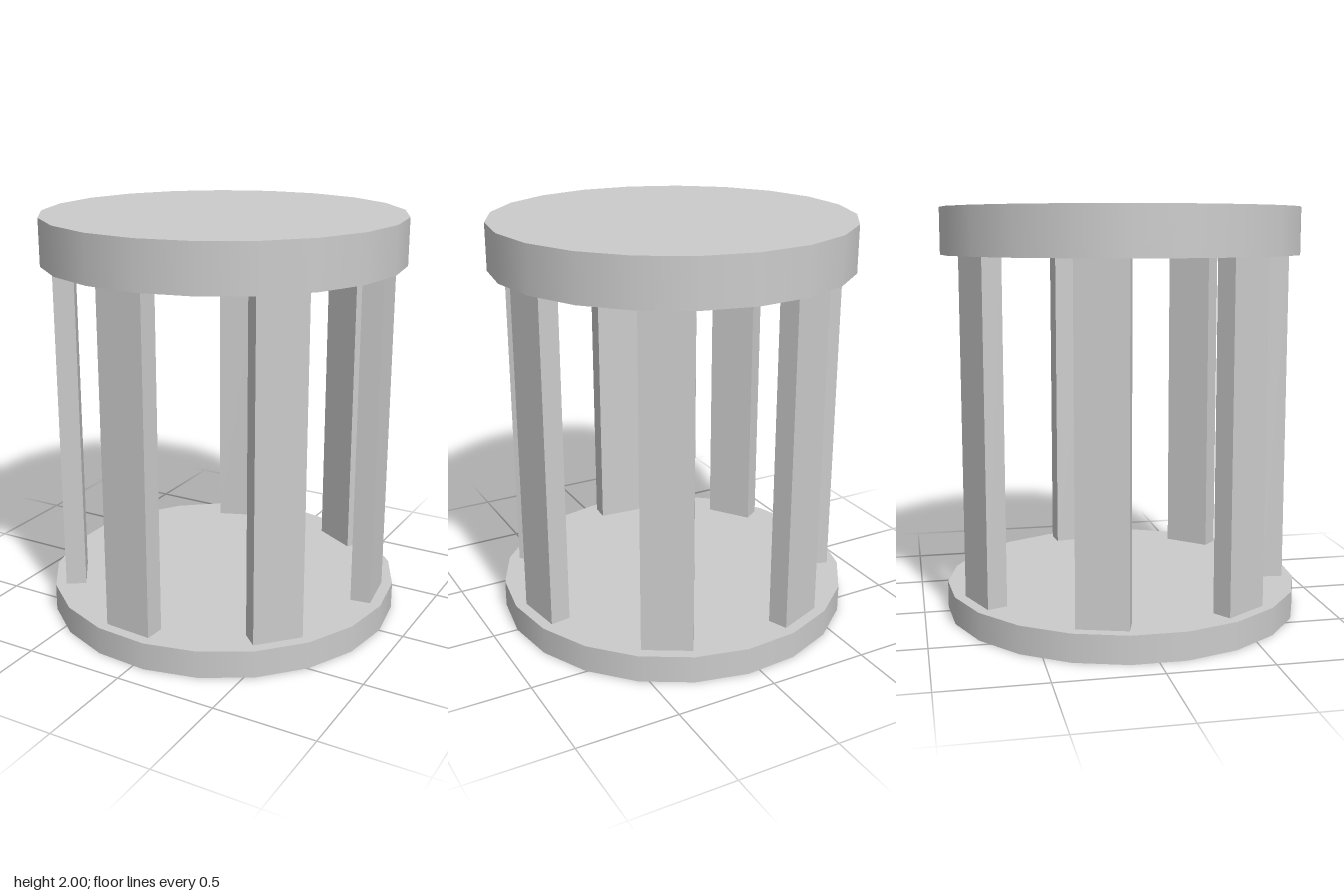
import * as THREE from 'three';

const material = new THREE.MeshStandardMaterial({ color: 0xcccccc });
const RADIUS = 0.881;
const SIDES = 21;
const BASE_TOP = 0.135;
const ROOF_BOTTOM = 1.773;

// Round slab with a corner pointing to +x
function makeDisc(name, bottom, top) {
  const geometry = new THREE.CylinderGeometry(RADIUS, RADIUS, top - bottom, SIDES, 1, false, Math.PI / 2);
  const disc = new THREE.Mesh(geometry, material);
  disc.name = name;
  disc.position.y = (bottom + top) / 2;
  return disc;
}

export function createModel() {
  const model = new THREE.Group();
  model.name = 'roundPavilion';
  model.add(makeDisc('base', 0, BASE_TOP), makeDisc('roof', ROOF_BOTTOM, 2));

  // Seven rectangular pillars, each facing outward
  const count = 7, depth = 0.1, width = 0.244, outer = 0.818;
  const pillarGeometry = new THREE.BoxGeometry(depth, ROOF_BOTTOM - BASE_TOP, width);
  const pillars = new THREE.Group();
  pillars.name = 'pillars';
  for (let i = 0; i < count; i++) {
    const angle = (i / count) * Math.PI * 2 - Math.PI / SIDES;
    const pillar = new THREE.Mesh(pillarGeometry, material);
    pillar.name = `pillar${i + 1}`;
    const r = outer - depth / 2;
    pillar.position.set(r * Math.cos(angle), (BASE_TOP + ROOF_BOTTOM) / 2, r * Math.sin(angle));
    pillar.rotation.y = -angle;
    pillars.add(pillar);
  }
  model.add(pillars);

  // Centre the odd-sided outline on x
  for (const part of model.children) part.position.x -= 0.005;
  return model;
}
